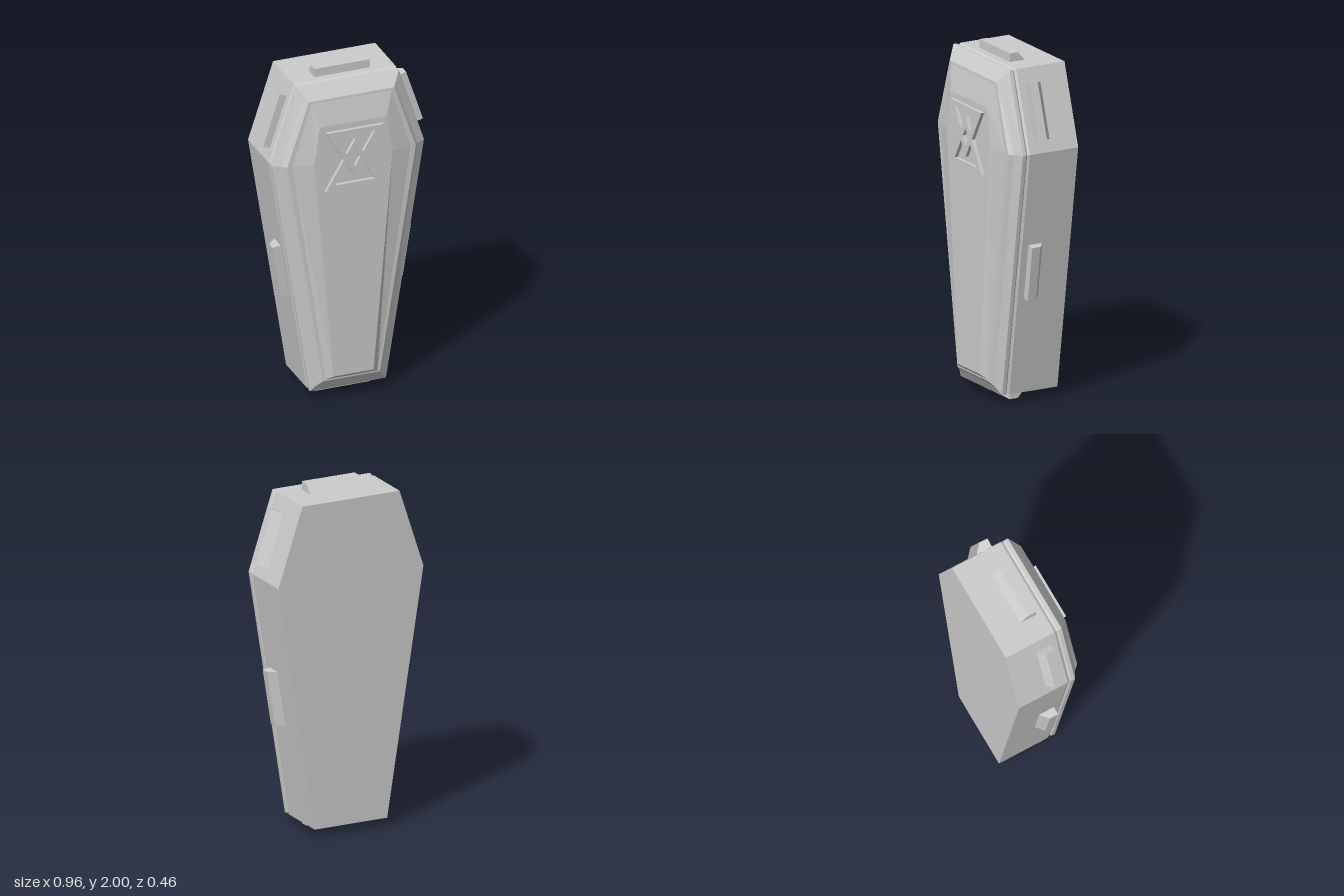
import * as THREE from 'three';

const material = new THREE.MeshStandardMaterial({ color: 0xcccccc, flatShading: true });

// Six-sided casket outline, counter-clockwise seen from the front
function outline([topX, topY, midX, midY, lowX, lowY, z]) {
  return [[-lowX, lowY], [lowX, lowY], [midX, midY], [topX, topY], [-topX, topY], [-midX, midY]]
    .map(([x, y]) => [x, y, z]);
}

// Skin a stack of outlines running from back to front, and close both ends
function loft(sections) {
  const loops = sections.map(outline);
  const n = loops[0].length;
  const pos = [];
  const tri = (a, b, c) => pos.push(...a, ...b, ...c);
  for (let s = 0; s < loops.length - 1; s++) {
    const a = loops[s], b = loops[s + 1];
    for (let i = 0; i < n; i++) {
      const j = (i + 1) % n;
      tri(a[i], a[j], b[j]);
      tri(a[i], b[j], b[i]);
    }
  }
  const back = loops[0], front = loops[loops.length - 1];
  for (let i = 1; i < n - 1; i++) {
    tri(back[0], back[i + 1], back[i]);
    tri(front[0], front[i], front[i + 1]);
  }
  const geo = new THREE.BufferGeometry();
  geo.setAttribute('position', new THREE.Float32BufferAttribute(pos, 3));
  geo.computeVertexNormals();
  return geo;
}

// Grip bar with a sloping back, pointing outward along the given angle
function handleGeometry(length) {
  const shape = new THREE.Shape([[-0.01, -0.04], [0.047, -0.04], [0.047, 0.012], [-0.01, 0.062]]
    .map(([out, z]) => new THREE.Vector2(out, z)));
  const geo = new THREE.ExtrudeGeometry(shape, { depth: length, bevelEnabled: false });
  geo.translate(0, 0, -length / 2);
  geo.rotateX(-Math.PI / 2);
  return geo;
}

// Triangular frame: base at y = -0.18, tip at 0.115
function triangleFrame() {
  const tri = (w, base, tip) => [[-w, base], [w, base], [0, tip]].map(([x, y]) => new THREE.Vector2(x, y));
  const shape = new THREE.Shape(tri(0.173, -0.18, 0.115));
  shape.holes.push(new THREE.Path(tri(0.118, -0.148, 0.05).reverse()));
  return new THREE.ExtrudeGeometry(shape, { depth: 0.03, bevelEnabled: false });
}

export function createModel() {
  const model = new THREE.Group();
  model.name = 'casket';
  const add = (name, geo, x = 0, y = 0, z = 0, angle = 0) => {
    const mesh = new THREE.Mesh(geo, material);
    mesh.name = name;
    mesh.position.set(x, y, z);
    mesh.rotation.z = angle;
    model.add(mesh);
    return mesh;
  };

  // Box, ending in the bottom of the seam groove
  const rim = [0.305, 1.95, 0.455, 1.49, 0.2275, 0.05];
  const seam = [0.3, 1.942, 0.446, 1.49, 0.22, 0.058];
  add('box', loft([[...rim, -0.23], [...rim, 0.08], [...seam, 0.094]]), -0.005);

  // Lid with bevelled rim and raised panel
  add('lid', loft([
    [...seam, 0.094],
    [...rim, 0.105],
    [...rim, 0.126],
    [0.278, 1.91, 0.405, 1.49, 0.19, 0.1, 0.155],
    [0.255, 1.875, 0.385, 1.49, 0.17, 0.125, 0.18],
    [0.24, 1.86, 0.352, 1.49, 0.155, 0.135, 0.181],
    [0.2, 1.72, 0.235, 1.5, 0.12, 0.16, 0.209],
  ]), -0.005);

  // Crossed triangle ornament
  add('ornamentLower', triangleFrame(), -0.003, 1.505, 0.2);
  add('ornamentUpper', triangleFrame(), -0.003, 1.505, 0.2, Math.PI);

  // Handles at head and foot
  add('headHandle', handleGeometry(0.33), -0.005, 1.953, 0, Math.PI / 2);
  add('footHandle', handleGeometry(0.33), -0.005, 0.047, 0, -Math.PI / 2);

  // Handles on both sides, lying flat on the slanted walls
  const upperTilt = Math.atan2(0.15, 0.46);
  const lowerTilt = -Math.atan2(0.2275, 1.44);
  for (const [label, side] of [['left', 1], ['right', -1]]) {
    const turn = (a) => (side > 0 ? a : Math.PI - a);
    add(label + 'UpperHandle', handleGeometry(0.323), side * 0.383, 1.713, 0, turn(upperTilt));
    add(label + 'LowerHandle', handleGeometry(0.324), side * 0.342 - 0.007, 0.783, 0, turn(lowerTilt));
  }
  return model;
}
